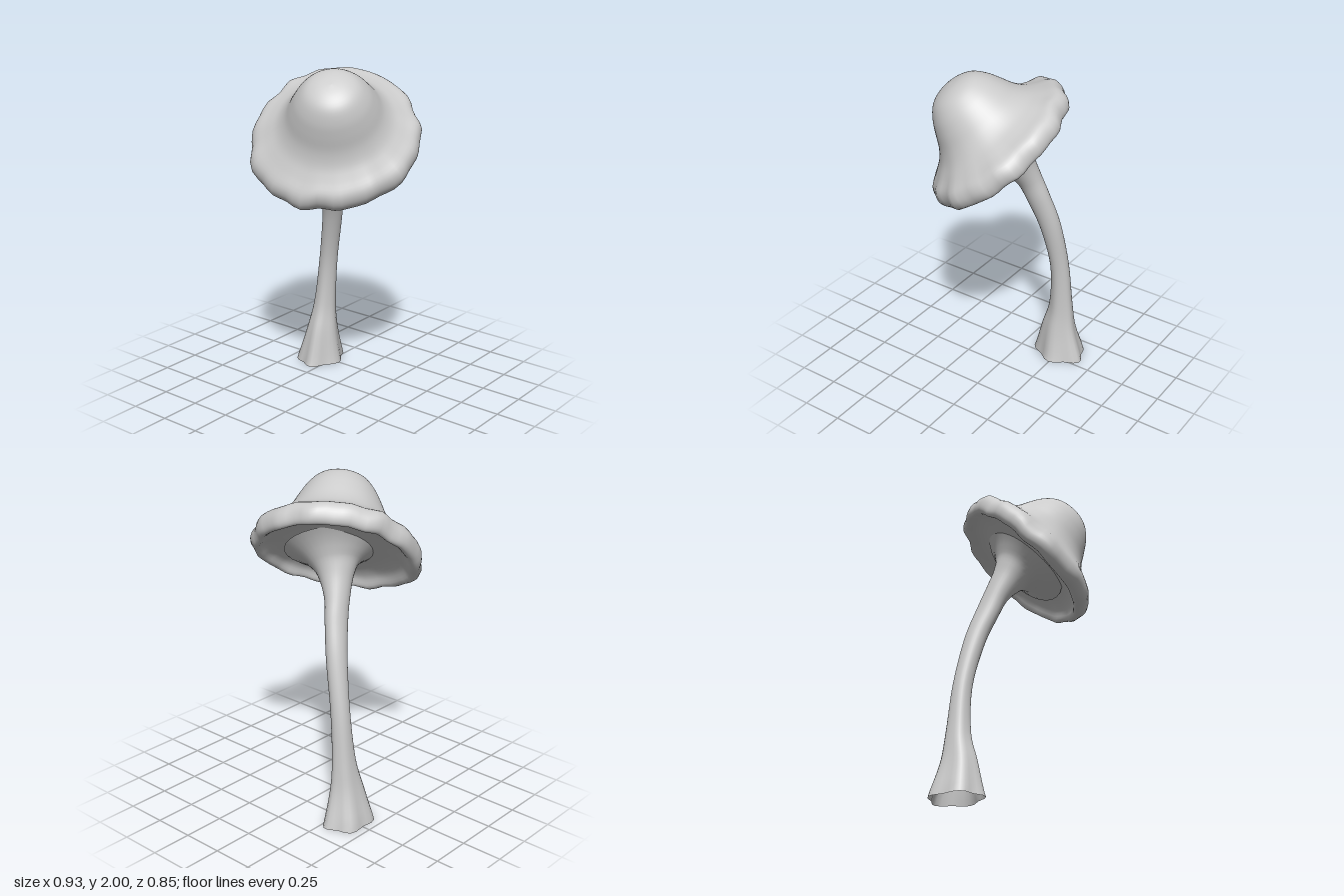
import * as THREE from 'three';

const UP = new THREE.Vector3(0, 1, 0);
const material = new THREE.MeshStandardMaterial({ color: 0xcccccc, side: THREE.DoubleSide });

// Skin a stack of closed rings; point(i, angle) gives each vertex
function loft(name, rows, segs, point) {
  const positions = [], index = [];
  for (let i = 0; i < rows; i++) {
    for (let j = 0; j < segs; j++) {
      positions.push(...point(i, (j / segs) * Math.PI * 2).toArray());
      if (i === rows - 1) continue;
      const a = i * segs + j, b = i * segs + (j + 1) % segs;
      index.push(a, a + segs, b, b, a + segs, b + segs);
    }
  }
  const geometry = new THREE.BufferGeometry();
  geometry.setAttribute('position', new THREE.Float32BufferAttribute(positions, 3));
  geometry.setIndex(index);
  geometry.computeVertexNormals();
  const mesh = new THREE.Mesh(geometry, material);
  mesh.name = name;
  return mesh;
}

// Bell-shaped cap: hollow underside, rolled lip, brim and dome
function createCap() {
  const profile = new THREE.SplineCurve([
    [0.18, 0.004], [0.25, 0.002], [0.33, -0.005], [0.4, -0.03], [0.445, -0.072],
    [0.48, -0.06], [0.494, -0.01], [0.47, 0.047], [0.4, 0.095], [0.335, 0.145],
    [0.284, 0.21], [0.244, 0.29], [0.205, 0.36], [0.15, 0.423], [0.08, 0.455], [0.001, 0.465],
  ].map(([r, h]) => new THREE.Vector2(r, h))).getPoints(60);

  // Broad bends of the brim, every 45 degrees: change of radius, change of height
  const bends = [
    [-0.008, 0.01], [-0.02, 0], [0.016, -0.022], [0.035, -0.04],
    [-0.02, 0.05], [-0.015, 0.06], [-0.005, 0.04], [-0.015, 0.015],
  ];

  const cap = loft('cap', profile.length, 64, (i, a) => {
    const { x: r, y: h } = profile[i];
    // Ruffles fade out quickly away from the brim, bends more slowly
    const edge = Math.pow(r / 0.49, 6), broad = Math.pow(r / 0.49, 3);
    let R = r + edge * (0.006 * Math.sin(15 * a) + 0.005 * Math.sin(9 * a + 1));
    let H = h + edge * (0.006 * Math.sin(11 * a + 2) + 0.005 * Math.sin(17 * a));
    bends.forEach(([dr, dh], k) => {
      const weight = broad * Math.pow(Math.max(0, Math.cos(a - k * Math.PI / 4)), 5) / 1.35;
      R += dr * weight;
      H += dh * weight;
    });
    return new THREE.Vector3(R * Math.cos(a), H, R * Math.sin(a));
  });
  cap.position.set(0, 1.575, 0);
  cap.quaternion.setFromUnitVectors(UP, new THREE.Vector3(0.4, 1, 0.67).normalize());
  return cap;
}

// Curved open stem with a fluted foot, spreading into the cap's underside
function createStem() {
  // x, y, z, radius across x, radius across z, flute depth
  const sections = [
    [-0.33, 0.005, -0.245, 0.132, 0.16, 0.1],
    [-0.315, 0.2, -0.243, 0.092, 0.112, 0.06],
    [-0.304, 0.4, -0.257, 0.066, 0.074, 0.03],
    [-0.275, 0.7, -0.255, 0.056, 0.058, 0.01],
    [-0.215, 1.0, -0.218, 0.058, 0.066, 0],
    [-0.163, 1.2, -0.163, 0.06, 0.075, 0],
    [-0.128, 1.33, -0.118, 0.07, 0.08, 0],
    [-0.075, 1.45, -0.068, 0.108, 0.108, 0],
    [-0.038, 1.515, -0.036, 0.165, 0.165, 0],
    [0.002, 1.578, 0.002, 0.29, 0.29, 0],
  ];
  const curve = k => new THREE.CatmullRomCurve3(
    sections.map(s => new THREE.Vector3(s[k], s[k + 1], s[k + 2])), false, 'catmullrom');
  const path = curve(0), shape = curve(3);
  const steps = 45, turn = new THREE.Quaternion();

  return loft('stem', steps + 1, 30, (i, a) => {
    const t = i / steps, s = shape.getPoint(t);
    const flute = 1 + s.z * Math.cos(5 * a);
    const p = new THREE.Vector3(s.x * flute * Math.cos(a), 0, s.y * flute * Math.sin(a));
    // The foot stays level; higher rings follow the bend
    if (i > 0) p.applyQuaternion(turn.setFromUnitVectors(UP, path.getTangent(t)));
    return p.add(path.getPoint(t));
  });
}

export function createModel() {
  const group = new THREE.Group();
  group.name = 'mushroom';
  group.add(createStem(), createCap());
  return group;
}
